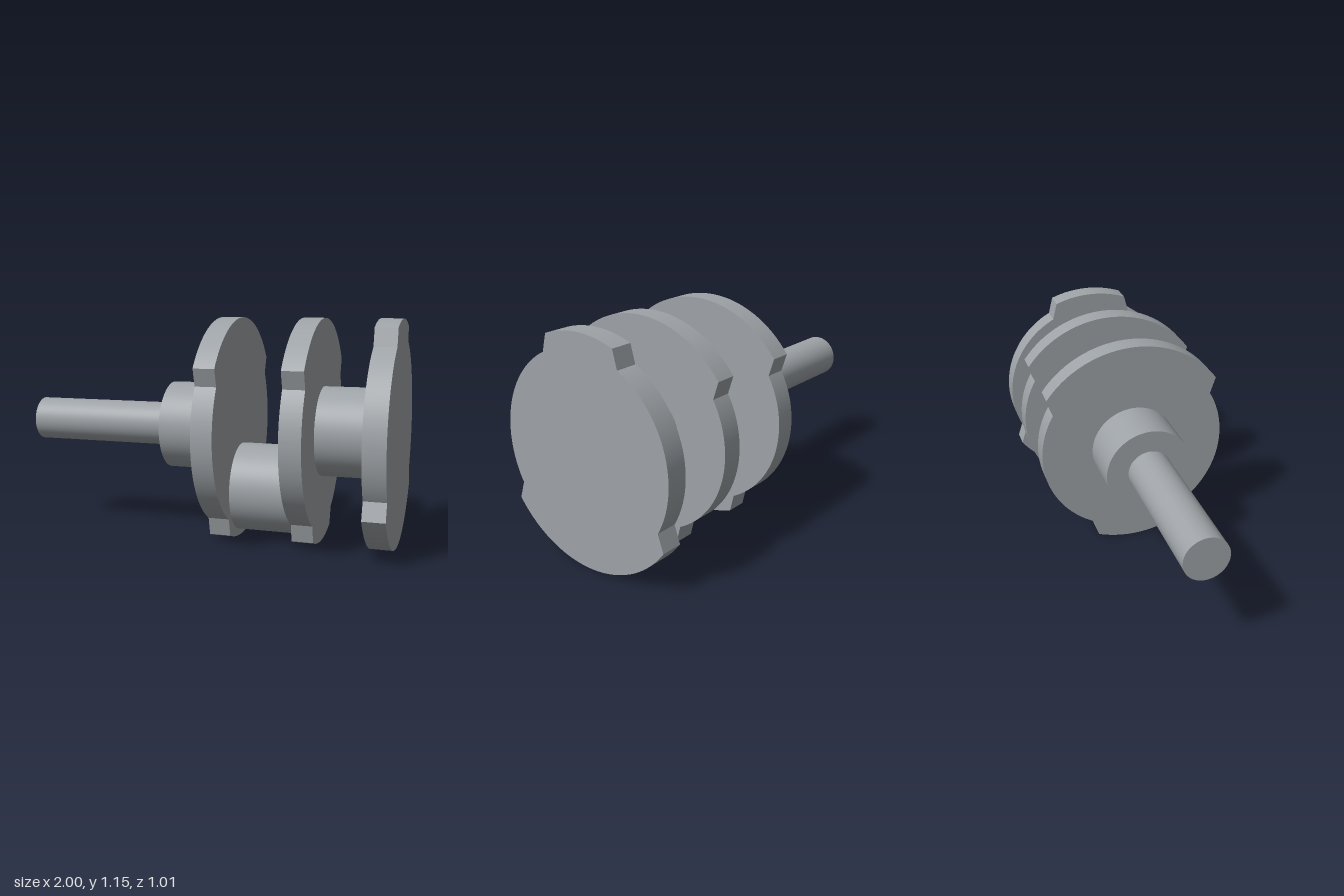
import * as THREE from 'three';
import { toCreasedNormals } from 'three/addons/utils/BufferGeometryUtils.js';

const AXIS_Y = 0.577;   // height of the main axis
const OUTER = 0.577;    // radius of the counterweight rims
const INNER = 0.503;    // radius of the cut-back flanks

export function createModel() {
  const model = new THREE.Group();
  model.name = 'crankshaft';
  const steel = new THREE.MeshStandardMaterial({ color: 0x9ea3a7 });
  steel.name = 'steel grey';

  const add = (name, geometry, x, y) => {
    const mesh = new THREE.Mesh(geometry, steel);
    mesh.name = name;
    mesh.position.set(x, y, 0);
    model.add(mesh);
  };

  // Round sections lying along x
  const rod = (name, x0, x1, radius, y = AXIS_Y) => {
    const geometry = new THREE.CylinderGeometry(radius, radius, x1 - x0, 64);
    geometry.rotateZ(Math.PI / 2);
    add(name, geometry, (x0 + x1) / 2, y);
  };

  // Web outline: wide rim on top, narrow rim below, cut-back flanks between
  const outline = new THREE.Shape();
  const arc = (radius, from, to) =>
    outline.absarc(0, 0, radius, THREE.MathUtils.degToRad(from), THREE.MathUtils.degToRad(to), false);
  arc(OUTER, 36.3, 143.7);
  arc(INNER, 149.9, 242.8);
  arc(OUTER, 249.1, 290.9);
  arc(INNER, 297.2, 390.1);
  outline.closePath();

  const web = (name, x0, x1, flipped) => {
    const extruded = new THREE.ExtrudeGeometry(outline, {
      depth: x1 - x0, bevelEnabled: false, curveSegments: 32,
    });
    if (flipped) extruded.rotateZ(Math.PI);
    extruded.rotateY(Math.PI / 2);
    add(name, toCreasedNormals(extruded, 0.25), x0, AXIS_Y);
  };

  rod('inputShaft', -1, -0.21, 0.115);
  rod('firstJournal', -0.21, 0.065, 0.23);
  web('firstWeb', 0.065, 0.175, false);
  rod('crankPin', 0.175, 0.5, 0.23, 0.262);
  web('secondWeb', 0.5, 0.61, false);
  rod('secondJournal', 0.61, 0.888, 0.23);
  web('endWeb', 0.888, 1, true);

  return model;
}
